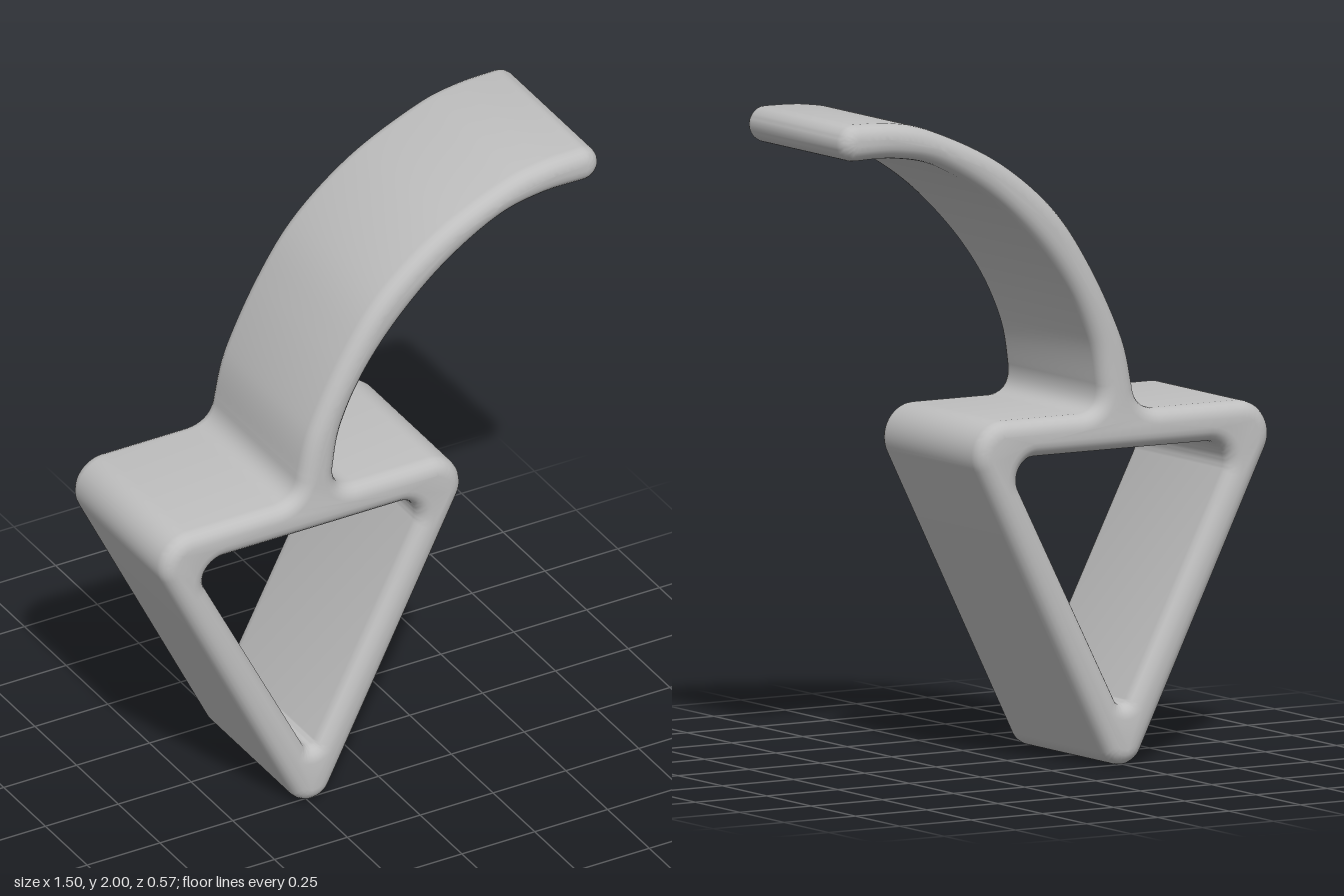
import * as THREE from 'three';
import { toCreasedNormals } from 'three/addons/utils/BufferGeometryUtils.js';

const EDGE = 0.045; // rounding of the front and back rims
const HALF_DEPTH = 0.285;
const SLOPE = Math.atan2(1, 2); // lean of the triangle's sides
const CENTER_X = -0.24;

// Right-hand, then left-hand rounded corner of an inverted triangle.
const rightCorner = (path, dx, y, r) => path.absarc(CENTER_X + dx, y, r, -SLOPE, Math.PI / 2, false);
const leftCorner = (path, dx, y, r) => path.absarc(CENTER_X - dx, y, r, Math.PI / 2, Math.PI + SLOPE, false);
const bottomCorner = (path, y, r) => path.absarc(CENTER_X, y, r, Math.PI + SLOPE, 2 * Math.PI - SLOPE, false);

const points = (list) => list.map(([x, y]) => new THREE.Vector2(x, y));

function bodyShape() {
  const shape = new THREE.Shape();
  shape.moveTo(CENTER_X - 0.065, 0.045);
  bottomCorner(shape, 0.078, 0.073);
  rightCorner(shape, 0.413, 0.968, 0.102);

  // Fillet and inner edge of the curved arm
  shape.lineTo(-0.09, 1.07);
  shape.quadraticCurveTo(-0.165, 1.075, -0.16, 1.15);
  shape.splineThru(points([
    [-0.135, 1.286], [-0.06, 1.444], [0.06, 1.6], [0.22, 1.746], [0.4, 1.853], [0.55, 1.888], [0.694, 1.89],
  ]));
  // Rounded tip
  shape.absarc(0.694, 1.945, 0.055, -Math.PI / 2, Math.PI / 2, false);
  // Outer edge and fillet
  shape.splineThru(points([
    [0.56, 1.994], [0.42, 1.962], [0.193, 1.855], [0, 1.7], [-0.13, 1.52], [-0.24, 1.3], [-0.278, 1.15],
  ]));
  shape.quadraticCurveTo(-0.285, 1.075, -0.36, 1.07);

  leftCorner(shape, 0.413, 0.968, 0.102);
  shape.closePath();

  // Triangular opening
  const hole = new THREE.Path();
  hole.moveTo(CENTER_X - 0.022, 0.202);
  bottomCorner(hole, 0.213, 0.025);
  rightCorner(hole, 0.302, 0.89, 0.065);
  leftCorner(hole, 0.302, 0.89, 0.065);
  hole.closePath();
  shape.holes.push(hole);
  return shape;
}

export function createModel() {
  const group = new THREE.Group();
  group.name = 'triangleHook';

  const grey = new THREE.MeshStandardMaterial({ color: 0xbfbfbf });
  grey.name = 'grey';

  const geometry = new THREE.ExtrudeGeometry(bodyShape(), {
    depth: 2 * (HALF_DEPTH - EDGE),
    bevelEnabled: true,
    bevelSize: EDGE,
    bevelOffset: -EDGE,
    bevelThickness: EDGE,
    bevelSegments: 5,
    curveSegments: 10,
  });
  geometry.translate(0, 0, -(HALF_DEPTH - EDGE));
  geometry.clearGroups();

  const body = new THREE.Mesh(toCreasedNormals(geometry, 0.9), grey);
  body.name = 'triangleFrameWithCurvedArm';
  group.add(body);
  return group;
}
